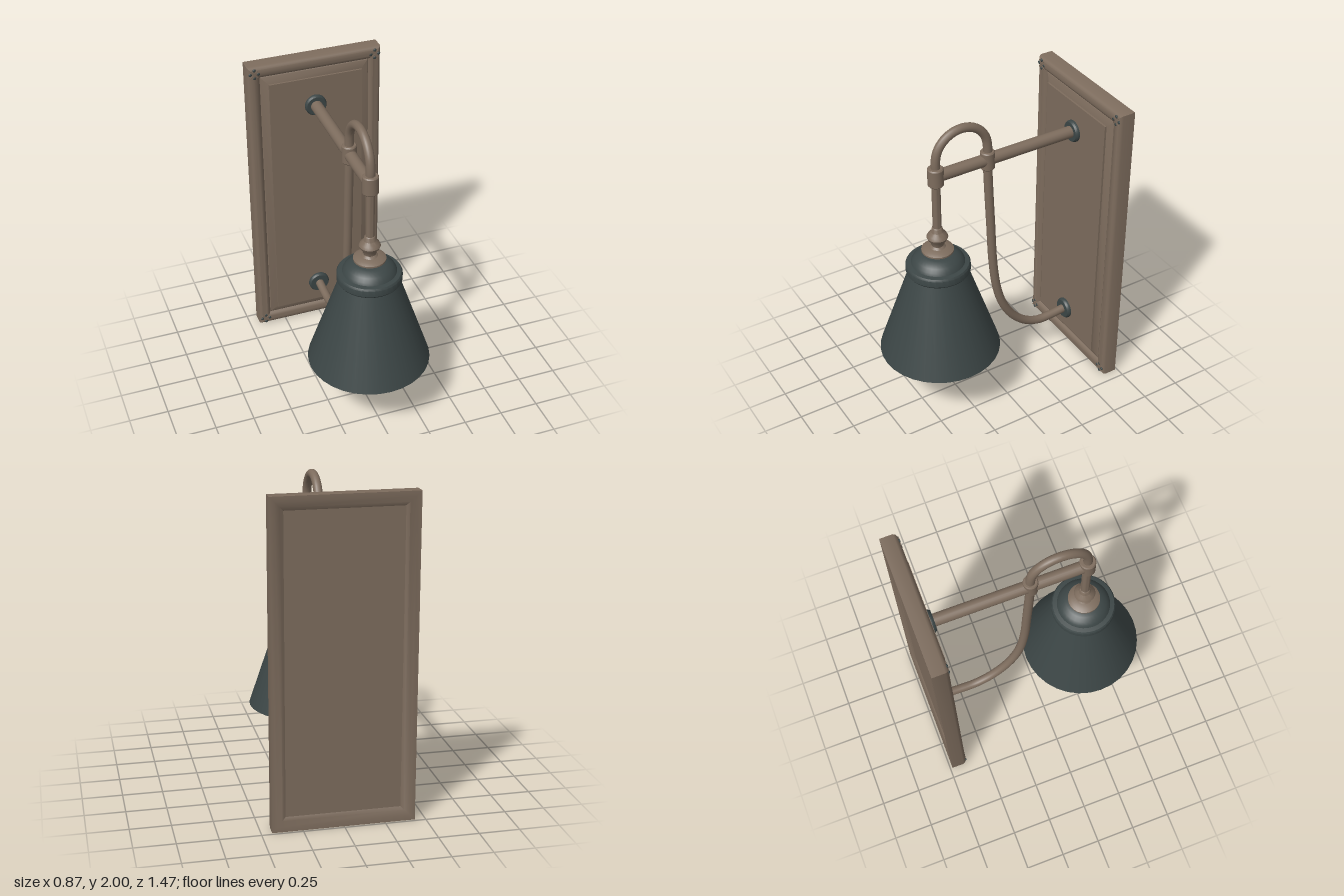
import * as THREE from 'three';
import { toCreasedNormals } from 'three/addons/utils/BufferGeometryUtils.js';

const bronze = new THREE.MeshStandardMaterial({ name: 'bronze', color: 0x7d6c5d });
const darkMetal = new THREE.MeshStandardMaterial({ name: 'darkMetal', color: 0x3c4646 });
const bulbWhite = new THREE.MeshStandardMaterial({ name: 'bulbWhite', color: 0xe4e4e4 });

const AXIS_X = -0.008;   // plane of the arm and hook
const LAMP_Z = 0.348;    // vertical axis of the shade
const HOOK_Z = -0.005;   // rear leg of the hook
const ARM_Y = 1.68;

function add(parent, name, geometry, material, x = 0, y = 0, z = 0) {
  const mesh = new THREE.Mesh(geometry, material);
  mesh.name = name;
  mesh.position.set(x, y, z);
  parent.add(mesh);
  return mesh;
}

function lathe(points, segments = 32) {
  const profile = points.map(([r, y]) => new THREE.Vector2(r, y));
  return toCreasedNormals(new THREE.LatheGeometry(profile, segments), 0.6);
}

// Sweeps a profile of [inset, z] around a mitred rectangle
function mitredFrame(halfW, y0, y1, profile) {
  const corner = (i, [d, z]) => [
    (i === 0 || i === 3 ? -1 : 1) * (halfW - d),
    i < 2 ? y0 + d : y1 - d,
    z,
  ];
  const positions = [];
  for (let i = 0; i < 4; i++) {
    const k = (i + 1) % 4;
    for (let j = 0; j < profile.length - 1; j++) {
      const a = corner(i, profile[j]), b = corner(k, profile[j]);
      const c = corner(k, profile[j + 1]), d = corner(i, profile[j + 1]);
      positions.push(...a, ...b, ...c, ...a, ...c, ...d);
    }
  }
  const geometry = new THREE.BufferGeometry();
  geometry.setAttribute('position', new THREE.Float32BufferAttribute(positions, 3));
  return toCreasedNormals(geometry, 0.6);
}

function createBackplate() {
  const plate = new THREE.Group();
  plate.name = 'backplate';

  // Rounded moulding, inner groove and sloping border of the panel
  add(plate, 'frameMoulding', mitredFrame(0.435, 0, 2, [
    [0.085, -0.712], [0.065, -0.722], [0.03, -0.735], [0, -0.735],
    [0, -0.655], [0.006, -0.642], [0.018, -0.634], [0.036, -0.63], [0.054, -0.633],
    [0.07, -0.641], [0.08, -0.654], [0.085, -0.65], [0.13, -0.634], [0.13, -0.622],
  ]), bronze);
  add(plate, 'raisedPanel', new THREE.BoxGeometry(0.61, 1.74, 0.06), bronze, 0, 1, -0.652);
  add(plate, 'backPanel', new THREE.BoxGeometry(0.71, 1.84, 0.05), bronze, 0, 1, -0.687);

  // Corner studs with small crossed bars
  const stud = new THREE.SphereGeometry(0.011, 10, 8);
  const bar = new THREE.BoxGeometry(0.07, 0.005, 0.006);
  for (const sx of [-1, 1]) for (const sy of [-1, 1]) {
    const ornament = new THREE.Group();
    ornament.name = 'cornerOrnament';
    ornament.position.set(sx * 0.393, 1 + sy * 0.956, -0.633);
    for (const [dx, dy] of [[-1, 0], [1, 0], [0, -1], [0, 1]]) {
      add(ornament, 'stud', stud, darkMetal, dx * 0.026, dy * 0.026, 0).scale.z = 0.5;
    }
    for (const s of [-1, 1]) {
      add(ornament, 'crossBar', bar, bronze).rotation.z = s * Math.PI / 4;
    }
    plate.add(ornament);
  }

  // Wall rosettes where the arm and hook meet the plate
  const rosette = lathe([[0, 0], [0.07, 0], [0.07, 0.014], [0.062, 0.026], [0, 0.026]]);
  for (const y of [ARM_Y, 0.28]) {
    add(plate, 'rosette', rosette, darkMetal, AXIS_X, y, -0.622).rotation.x = Math.PI / 2;
  }
  return plate;
}

function createBracket() {
  const bracket = new THREE.Group();
  bracket.name = 'bracket';
  bracket.position.x = AXIS_X;

  // Straight arm
  const length = LAMP_Z + 0.61;
  const arm = add(bracket, 'arm', new THREE.CylinderGeometry(0.038, 0.038, length, 20),
    bronze, 0, ARM_Y, LAMP_Z - length / 2);
  arm.rotation.x = Math.PI / 2;

  // Arched hook running down and back to the plate
  const path = [[ARM_Y, LAMP_Z], [1.74, LAMP_Z]];
  const radius = (LAMP_Z - HOOK_Z) / 2;
  for (let i = 0; i <= 8; i++) {
    const a = Math.PI * i / 8;
    path.push([1.775 + Math.sin(a) * radius, HOOK_Z + radius + Math.cos(a) * radius]);
  }
  path.push([1.65, -0.006], [1.5, -0.012], [1.2, -0.028], [0.9, -0.045], [0.68, -0.075],
    [0.53, -0.122], [0.4, -0.2], [0.31, -0.3], [0.27, -0.4], [0.27, -0.5], [0.282, -0.61]);
  const curve = new THREE.CatmullRomCurve3(path.map(([y, z]) => new THREE.Vector3(0, y, z)));
  add(bracket, 'hookTube', new THREE.TubeGeometry(curve, 110, 0.028, 14), bronze);

  // Collars joining the arm and hook
  const collar = lathe([[0, -0.06], [0.043, -0.06], [0.049, -0.053], [0.049, 0.053],
    [0.043, 0.06], [0, 0.06]], 24);
  for (const [z, s] of [[LAMP_Z, 1], [HOOK_Z, 0.92]]) {
    add(bracket, 'collar', collar, bronze, 0, ARM_Y, z).scale.set(s, 1, s);
  }
  return bracket;
}

function createLamp() {
  const lamp = new THREE.Group();
  lamp.name = 'lamp';
  lamp.position.set(AXIS_X, 0, LAMP_Z);

  // Hanging rod with turned finial
  add(lamp, 'stem', lathe([
    [0, 1.11], [0.05, 1.11], [0.05, 1.135], [0.08, 1.138], [0.1, 1.15], [0.1, 1.16],
    [0.08, 1.172], [0.05, 1.177], [0.038, 1.19], [0.042, 1.21], [0.058, 1.232],
    [0.066, 1.25], [0.058, 1.268], [0.038, 1.288], [0.032, 1.315], [0.027, 1.32],
    [0.027, 1.66],
  ], 24), bronze);

  // Hollow shade with collar ring and domed cap
  add(lamp, 'shade', lathe([
    [0, 1.05], [0.12, 1.04], [0.17, 1], [0.373, 0.405], [0.383, 0.405], [0.183, 1],
    [0.193, 1.002], [0.2, 1.012], [0.2, 1.052], [0.192, 1.064], [0.166, 1.068],
    [0.158, 1.085], [0.14, 1.104], [0.115, 1.12], [0.09, 1.128], [0, 1.128],
  ]), darkMetal);

  // Bulb and its socket
  add(lamp, 'bulb', new THREE.SphereGeometry(0.17, 32, 20), bulbWhite, 0, 0.62, 0);
  add(lamp, 'bulbNeck', lathe([[0.14, 0.7], [0.1, 0.78], [0.07, 0.86], [0.065, 0.92]]), bulbWhite);
  add(lamp, 'socket', new THREE.CylinderGeometry(0.075, 0.075, 0.16, 24), darkMetal, 0, 0.98, 0);
  return lamp;
}

export function createModel() {
  const model = new THREE.Group();
  model.name = 'wallLamp';
  model.add(createBackplate(), createBracket(), createLamp());
  return model;
}
